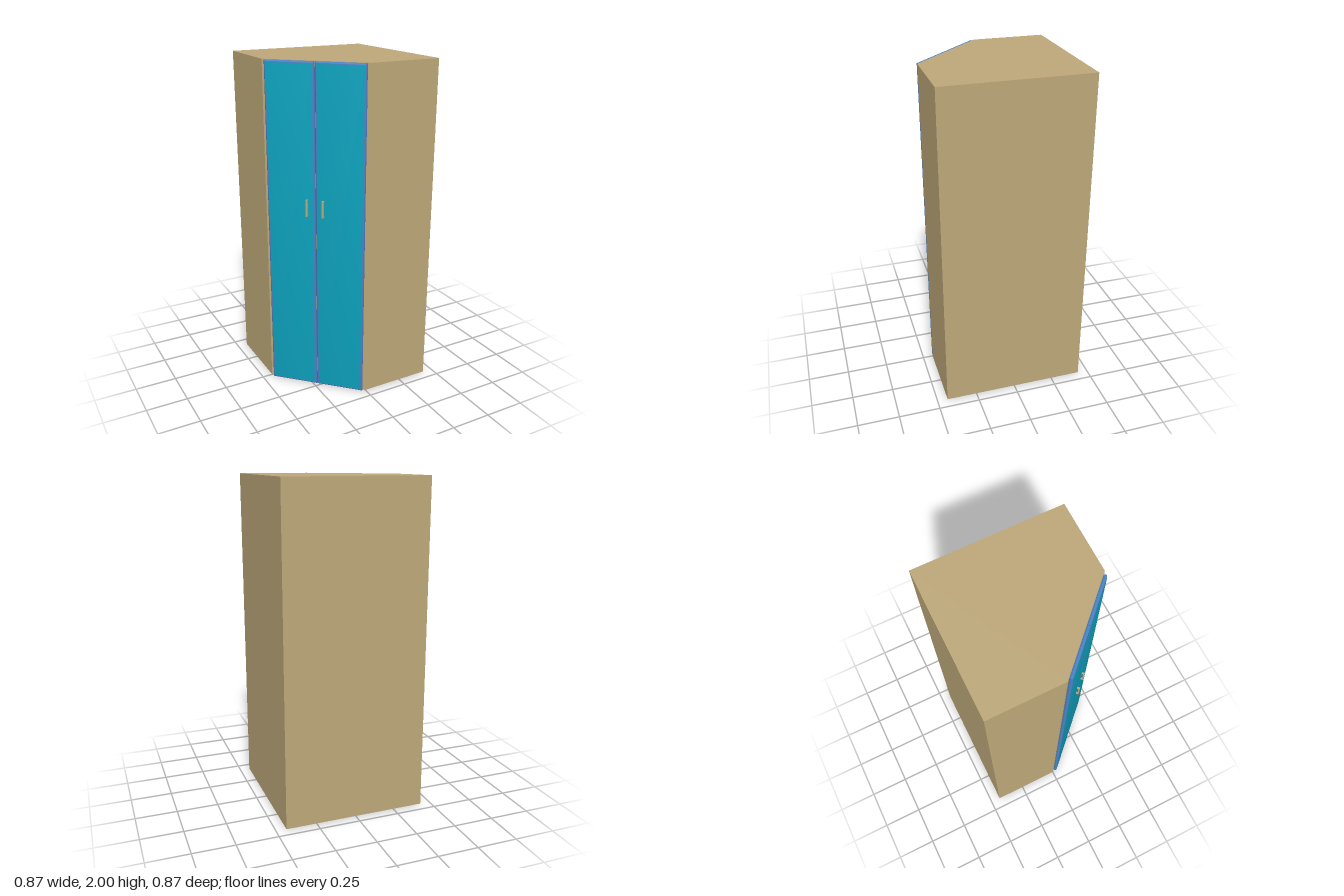
import * as THREE from 'three';
import { toCreasedNormals } from 'three/addons/utils/BufferGeometryUtils.js';

const material = (name, color) => {
  const m = new THREE.MeshStandardMaterial({ color });
  m.name = name;
  return m;
};

export function createModel() {
  const wood = material('tan wood', 0xbca778);
  const teal = material('teal panel', 0x0ca3be);
  const blue = material('blue edging', 0x4a82c4);

  const model = new THREE.Group();
  model.name = 'cornerWardrobe';
  const H = 2, S = 0.437;

  const add = (parent, name, geometry, mat, x = 0, y = 0, z = 0) => {
    const mesh = new THREE.Mesh(geometry, mat);
    mesh.name = name;
    mesh.position.set(x, y, z);
    parent.add(mesh);
    return mesh;
  };

  // Five-sided cabinet: a square plan with the front right corner cut off
  const plan = new THREE.Shape(
    [[-S, 0], [0, -S], [S, -S], [S, S], [-S, S]].map(([x, y]) => new THREE.Vector2(x, y)));
  const body = new THREE.ExtrudeGeometry(plan, { depth: H, bevelEnabled: false });
  body.rotateX(-Math.PI / 2);
  add(model, 'cabinet', body, wood);

  // Frame of the diagonal front: x runs along it, z points outward
  const front = new THREE.Group();
  front.name = 'diagonalFront';
  front.position.set(-S / 2, 0, S / 2);
  front.rotation.y = -Math.PI / 4;
  model.add(front);

  // Door with a flat panel and a rounded edge on all four sides
  const round = 0.013, thick = 0.011, inner = 0.014, outer = 0.279;
  const panelW = outer - inner, panelH = H - 2 * (round + 0.001);
  const panel = new THREE.Shape();
  panel.moveTo(-panelW / 2, -panelH / 2);
  panel.lineTo(panelW / 2, -panelH / 2);
  panel.lineTo(panelW / 2, panelH / 2);
  panel.lineTo(-panelW / 2, panelH / 2);
  panel.closePath();
  const doorGeometry = toCreasedNormals(new THREE.ExtrudeGeometry(panel, {
    depth: 0.001, bevelSize: round, bevelThickness: thick, bevelSegments: 6,
  }), 0.6);

  for (const side of [-1, 1]) {
    const label = side < 0 ? 'right' : 'left';
    add(front, label + 'Door', doorGeometry, [teal, blue],
      side * (inner + outer) / 2, H / 2, thick - 0.002);

    // Bar handle on two short feet
    const handle = new THREE.Group();
    handle.name = label + 'Handle';
    handle.position.set(side * 0.048, 1.17, 0);
    front.add(handle);
    add(handle, 'bar', new THREE.BoxGeometry(0.011, 0.1, 0.009), wood, 0, 0, 0.0345);
    for (const end of [-1, 1]) {
      add(handle, 'foot', new THREE.BoxGeometry(0.011, 0.01, 0.02), wood, 0, end * 0.045, 0.024);
    }
  }
  return model;
}
